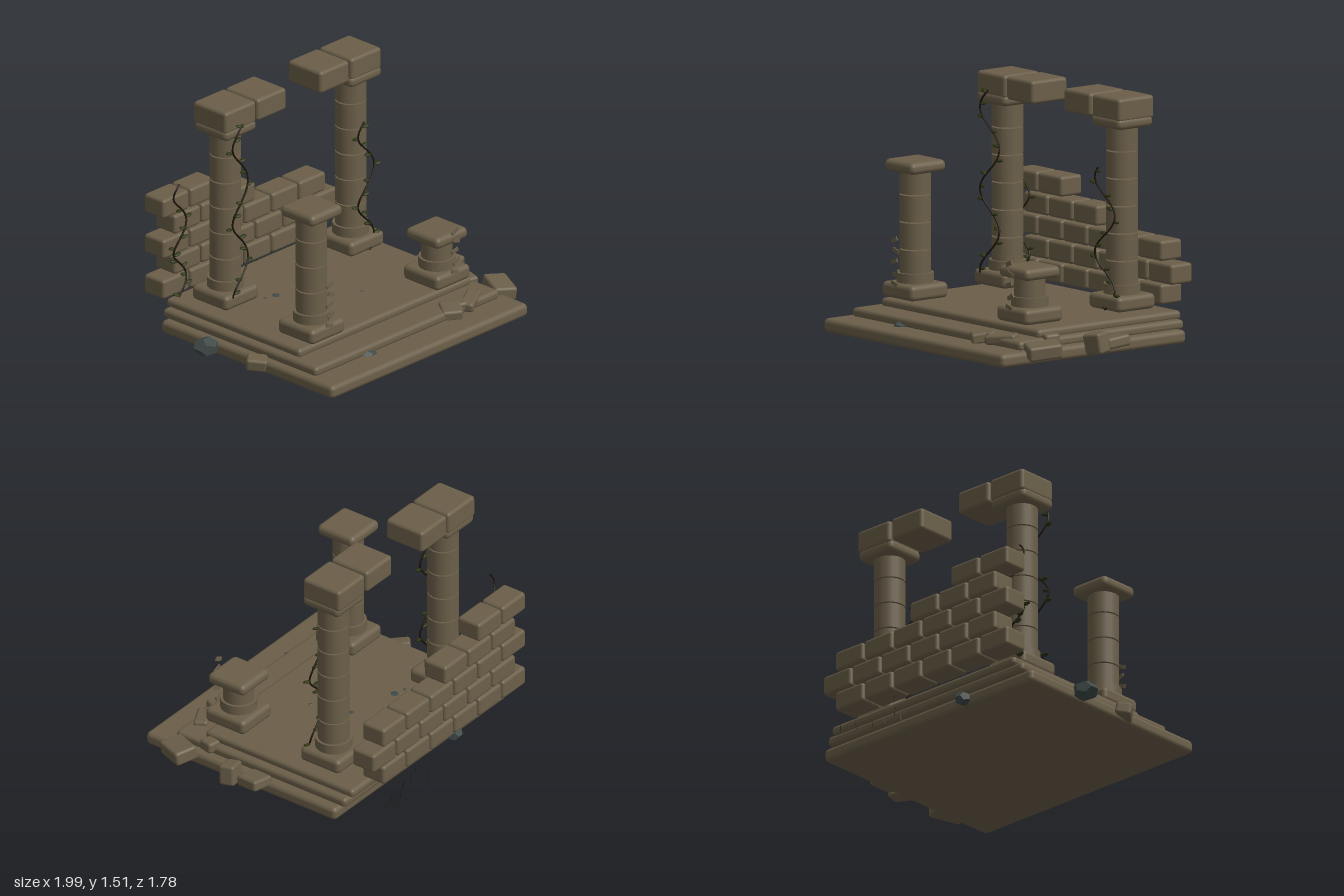
import * as THREE from 'three';
import { RoundedBoxGeometry } from 'three/addons/geometries/RoundedBoxGeometry.js';

const material = (name, color) => {
  const m = new THREE.MeshStandardMaterial({ color });
  m.name = name;
  return m;
};

export function createModel() {
  const model = new THREE.Group();
  model.name = 'ruinedTemple';
  const stone = material('weatheredStone', 0x6b5f49);
  const vineMat = material('vineStem', 0x1f160c);
  const leafMat = material('vineLeaf', 0x2b3310);
  const rockMat = material('slateRock', 0x3f4a49);
  rockMat.flatShading = true;
  const grassMat = material('dryGrass', 0x1d2110);
  grassMat.side = THREE.DoubleSide;

  const add = (parent, name, geometry, mat, x, y, z) => {
    const mesh = new THREE.Mesh(geometry, mat);
    mesh.name = name;
    mesh.position.set(x, y, z);
    parent.add(mesh);
    return mesh;
  };
  const group = (name, x = 0, y = 0, z = 0) => {
    const g = new THREE.Group();
    g.name = name;
    g.position.set(x, y, z);
    model.add(g);
    return g;
  };
  // Rounded block given by its limits on each axis
  const block = (parent, name, [x0, x1], [y0, y1], [z0, z1], r = 0.02) =>
    add(parent, name, new RoundedBoxGeometry(x1 - x0, y1 - y0, z1 - z0, 3, r), stone,
      (x0 + x1) / 2, (y0 + y1) / 2, (z0 + z1) / 2);

  // Stepped platform
  const platform = group('platform');
  block(platform, 'lowerStep', [-0.87, 0.85], [0, 0.085], [-0.55, 0.89], 0.03);
  block(platform, 'middleStep', [-0.82, 0.79], [0.075, 0.137], [-0.58, 0.705], 0.025);
  block(platform, 'upperStep', [-0.77, 0.74], [0.125, 0.184], [-0.6, 0.52], 0.025);

  // Columns: base, plinth drum, stacked drums and a capital
  const column = (name, x, z, capY) => {
    const c = group(name, x, 0, z);
    block(c, 'base', [-0.148, 0.148], [0.205, 0.3], [-0.148, 0.148], 0.03);
    add(c, 'plinthDrum', new THREE.CylinderGeometry(0.113, 0.113, 0.065, 20), stone, 0, 0.328, 0);
    for (let y = 0.34; y < capY; y += 0.168) {
      const top = Math.min(y + 0.16, capY + 0.01);
      add(c, 'drum', new THREE.CylinderGeometry(0.096, 0.096, top - y, 20), stone, 0, (y + top) / 2, 0);
    }
    block(c, 'capital', [-0.138, 0.138], [capY, capY + 0.073], [-0.138, 0.138], 0.032);
    return c;
  };
  column('backLeftColumn', 0.535, -0.3, 1.32);
  column('backRightColumn', -0.56, -0.3, 1.32);
  const frontColumns = [
    column('frontLeftColumn', 0.535, 0.42, 0.473),
    column('frontRightColumn', -0.56, 0.42, 0.978),
  ];

  // Tilted stone chips in front of the two front columns
  for (const c of frontColumns) {
    [0.57, 0.505, 0.44, 0.367, 0.302].forEach((y, i) => {
      const chip = add(c, 'chip', new THREE.BoxGeometry(0.056, 0.025, 0.008), stone,
        i % 2 ? 0.008 : -0.006, y, 0.157);
      chip.rotation.z = [0.4, -0.35, 0.3, 0.5, -0.3][i];
    });
  }

  // Broken lintel
  const lintel = group('lintel');
  for (const [x0, x1] of [[-0.695, -0.425], [-0.415, -0.16], [0.135, 0.39], [0.405, 0.67]]) {
    block(lintel, 'lintelBlock', [x0, x1], [1.37, 1.513], [-0.445, -0.167], 0.022);
  }

  // Ruined back wall in running bond
  const wall = group('backWall');
  [6, 6, 6, 3, 2].forEach((count, row) => {
    const y = 0.2 + row * 0.1335;
    for (let i = 0; i < count; i++) {
      const x = (row % 2 ? -0.73 : -0.83) + i * 0.2385;
      block(wall, 'wallBlock', [x, x + 0.229], [y, y + 0.124], [-0.725, -0.558], 0.02);
    }
  });

  // Fallen blocks: position, size, rotation
  const rubble = group('rubble');
  [
    [[0.875, 0.083, 0.042], [0.15, 0.07, 0.16], [0.12, -0.15, 0.1]],
    [[0.905, 0.093, 0.2], [0.13, 0.13, 0.1], [0.1, 0.2, 0.12]],
    [[0.89, 0.09, 0.605], [0.15, 0.09, 0.21], [0.1, -0.42, -0.08]],
    [[0.775, 0.127, 0.455], [0.09, 0.07, 0.1], [0.05, -0.25, 0.05]],
    [[0.57, 0.125, 0.665], [0.2, 0.06, 0.09], [0.08, 0.5, 0.05]],
    [[0.395, 0.115, 0.67], [0.13, 0.07, 0.15], [0.15, -0.6, 0.1]],
    [[0.475, 0.12, 0.65], [0.11, 0.06, 0.1], [0, -0.5, 0.1]],
    [[-0.875, 0.06, 0.265], [0.1, 0.08, 0.13], [0.1, 0.7, 0.1]],
  ].forEach(([p, s, r]) => {
    const b = add(rubble, 'fallenBlock', new RoundedBoxGeometry(...s, 2, 0.018), stone, ...p);
    b.rotation.set(...r);
  });

  // Slate rocks and half-buried pebbles: x, y, z, radius, height factor
  const rocks = group('rocks');
  [
    [-0.915, 0.06, -0.12, 0.083, 0.72], [-0.355, 0.075, 0.69, 0.062, 0.6],
    [-0.32, 0.045, -0.565, 0.055, 0.8], [-0.28, 0.18, -0.145, 0.032, 0.3],
    [0.045, 0.18, -0.06, 0.022, 0.4], [0.12, 0.181, 0.19, 0.014, 0.5],
    [-0.355, 0.181, -0.165, 0.014, 0.5],
  ].forEach(([x, y, z, r, h], i) => {
    const rock = add(rocks, 'rock', new THREE.DodecahedronGeometry(r), rockMat, x, y, z);
    rock.scale.y = h;
    rock.rotation.y = i * 0.8;
  });

  // Climbing vines: a wavy stem with flat leaves on alternating sides
  const leafGeometry = new THREE.SphereGeometry(1, 8, 6);
  const vine = (name, cx, amp, yMin, half, y0, y1, z, leaves, leafTop) => {
    const g = group(name);
    const at = (y) => new THREE.Vector3(
      cx - amp * Math.cos(Math.PI * (y - yMin) / half), y,
      z + 0.02 * Math.sin(Math.PI * (y - yMin) / half + 0.6));
    const points = [];
    for (let i = 0; i <= 24; i++) points.push(at(y0 + (y1 - y0) * i / 24));
    add(g, 'stem', new THREE.TubeGeometry(new THREE.CatmullRomCurve3(points), 72, 0.006, 6), vineMat, 0, 0, 0);
    for (let i = 0; i < leaves; i++) {
      const side = i % 2 ? 1 : -1;
      const p = at(y0 + 0.015 + (leafTop - y0) * i / (leaves - 1));
      const leaf = add(g, 'leaf', leafGeometry, leafMat, p.x + side * 0.026, p.y, p.z + 0.006 * (i % 3 - 1));
      leaf.scale.set(0.028, 0.009, 0.015);
      leaf.rotation.set(0.2, i * 0.9 % 0.7 - 0.35, side * 0.2);
    }
  };
  vine('rightColumnVine', -0.568, 0.077, 1.28, 0.25, 0.21, 1.41, -0.168, 15, 1.39);
  vine('leftColumnVine', 0.532, 0.08, 1.0, 0.23, 0.21, 1.08, -0.168, 12, 1.04);
  vine('wallVine', -0.715, 0.065, 0.885, 0.185, 0.21, 0.955, -0.532, 11, 0.74);

  // Thin grass blades behind the platform
  const grass = group('grass');
  [
    [0.05, -0.61], [0.14, -0.62], [0.24, -0.66], [0.33, -0.67], [0.42, -0.72],
    [0.5, -0.71], [0.21, -0.77], [0.51, -0.765], [0.12, -0.7], [-0.045, -0.885],
  ].forEach(([x, z], i) => {
    const h = z < -0.8 ? 0.02 : 0.075;
    const blade = new THREE.Shape();
    blade.moveTo(-0.003, 0);
    blade.lineTo(0.003, 0);
    blade.quadraticCurveTo(0.004, h * 0.6, 0.018, h);
    blade.quadraticCurveTo(0, h * 0.6, -0.003, 0);
    const b = add(grass, 'blade', new THREE.ShapeGeometry(blade, 4), grassMat, x, 0.025, z);
    b.rotation.y = 0.8 + i * 0.25;
  });

  return model;
}
